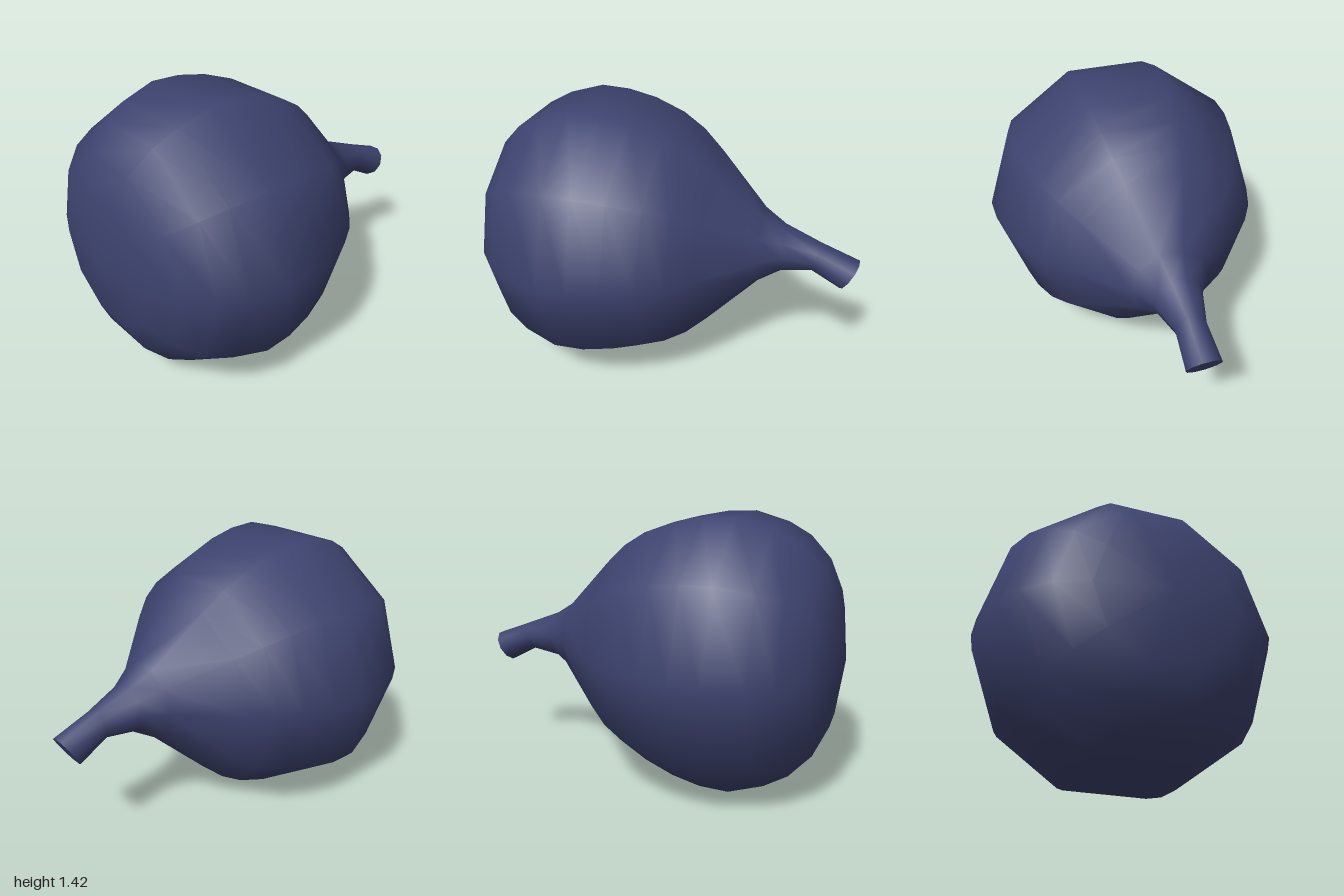
import * as THREE from 'three';

const SIDES = 10;

// Cross-sections from front to back: [z, centre y, radius, tilt]
const SECTIONS = [
  [0.95, 0.71, 0.347, 0],
  [0.88, 0.71, 0.502, 0],
  [0.77, 0.71, 0.62, 0],
  [0.65, 0.71, 0.688, 0],
  [0.47, 0.708, 0.744, 0],
  [0.315, 0.708, 0.738, 0],
  [0.16, 0.71, 0.705, 0],
  [0, 0.71, 0.645, 0],
  [-0.12, 0.71, 0.57, 0],
  [-0.23, 0.71, 0.468, 0],
  [-0.49, 0.71, 0.2, 0],
  [-0.603, 0.71, 0.127, 0],
  [-0.778, 0.684, 0.079, 0.22],
  [-0.957, 0.605, 0.0907, 0.515],
];

// Decagon corners of one section, leaning back by its tilt
function ringPoints([z, y, r, tilt]) {
  const points = [];
  for (let i = 0; i < SIDES; i++) {
    const a = (i / SIDES) * Math.PI * 2;
    const up = r * Math.sin(a);
    points.push(r * Math.cos(a), y + up * Math.cos(tilt), z - up * Math.sin(tilt));
  }
  return points;
}

function makeGeometry(positions, index) {
  const geometry = new THREE.BufferGeometry();
  geometry.setAttribute('position', new THREE.Float32BufferAttribute(positions, 3));
  geometry.setIndex(index);
  geometry.computeVertexNormals();
  return geometry;
}

// Smooth skin from the front pole to the end of the neck
function skinGeometry() {
  const positions = [0, 0.71, 1];
  const index = [];
  SECTIONS.forEach((s) => positions.push(...ringPoints(s)));
  const at = (ring, i) => 1 + ring * SIDES + (i % SIDES);
  for (let i = 0; i < SIDES; i++) {
    index.push(0, at(0, i), at(0, i + 1));
    for (let k = 0; k < SECTIONS.length - 1; k++) {
      const a = at(k, i), b = at(k, i + 1), c = at(k + 1, i), d = at(k + 1, i + 1);
      index.push(a, c, b, b, c, d);
    }
  }
  return makeGeometry(positions, index);
}

// Flat end of the neck
function capGeometry() {
  const index = [];
  for (let i = 1; i < SIDES - 1; i++) index.push(0, i + 1, i);
  return makeGeometry(ringPoints(SECTIONS[SECTIONS.length - 1]), index);
}

export function createModel() {
  const group = new THREE.Group();
  group.name = 'bulb';
  const navy = new THREE.MeshStandardMaterial({ color: 0x3d436f });
  navy.name = 'navy';

  const body = new THREE.Mesh(skinGeometry(), navy);
  body.name = 'bodyAndNeck';
  const cap = new THREE.Mesh(capGeometry(), navy);
  cap.name = 'neckEnd';
  group.add(body, cap);
  return group;
}
